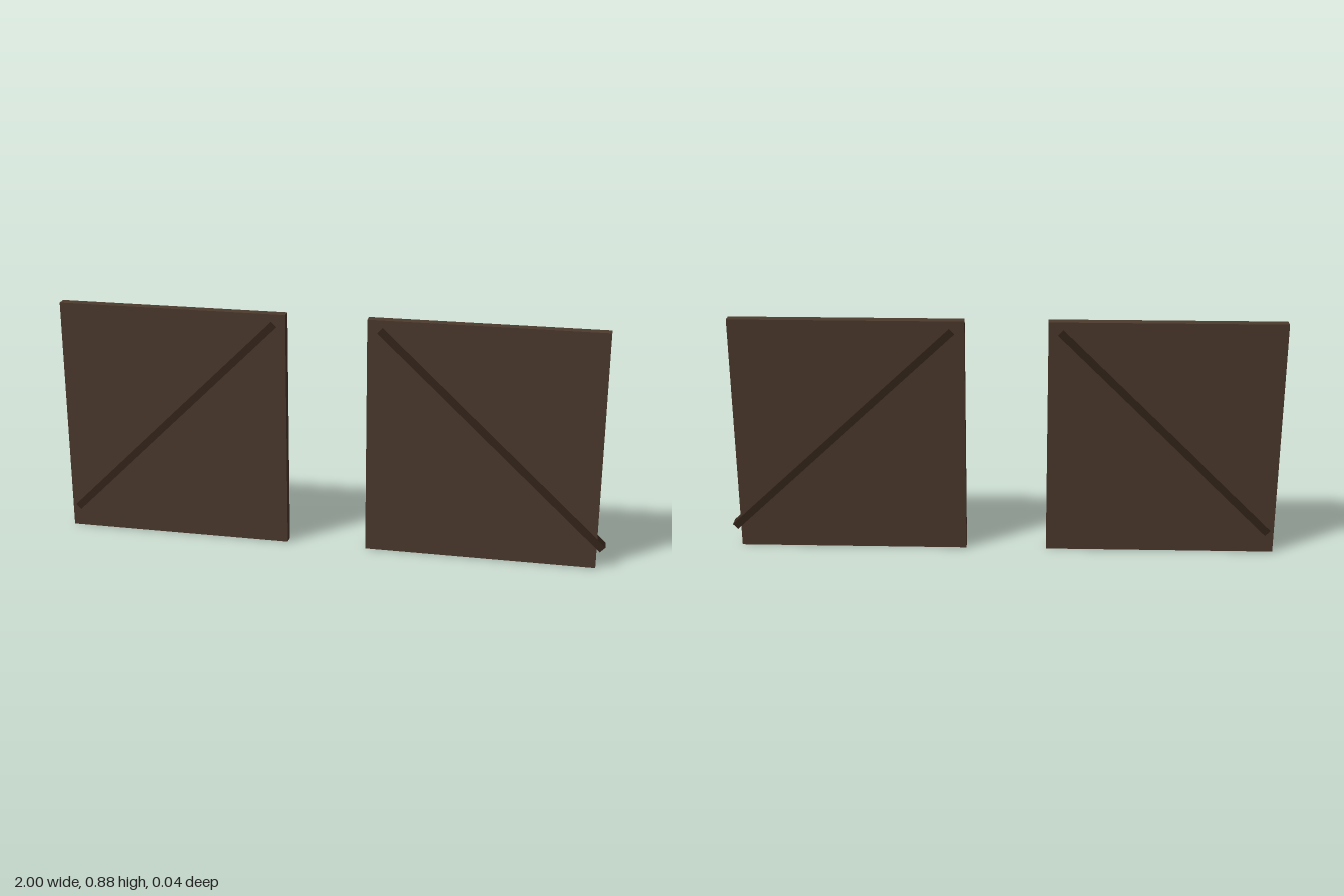
import * as THREE from 'three';

const panelMaterial = new THREE.MeshStandardMaterial({ color: 0x4d3a2d });
const braceMaterial = new THREE.MeshStandardMaterial({ color: 0x35261b });

const HEIGHT = 0.877;

// One shutter: a flat board with a diagonal brace running right through it
function createShutter(name, xMin, xMax, low, high) {
  const shutter = new THREE.Group();
  shutter.name = name;

  const panel = new THREE.Mesh(new THREE.BoxGeometry(xMax - xMin, HEIGHT, 0.036), panelMaterial);
  panel.name = 'panel';
  panel.position.set((xMin + xMax) / 2, HEIGHT / 2, 0);
  shutter.add(panel);

  // Brace between two end points, slightly proud of both faces
  const dx = high[0] - low[0];
  const dy = high[1] - low[1];
  const brace = new THREE.Mesh(new THREE.BoxGeometry(Math.hypot(dx, dy), 0.027, 0.044), braceMaterial);
  brace.name = 'diagonalBrace';
  brace.position.set((low[0] + high[0]) / 2, (low[1] + high[1]) / 2, 0);
  brace.rotation.z = Math.atan2(dy, dx);
  shutter.add(brace);

  return shutter;
}

export function createModel() {
  const model = new THREE.Group();
  model.name = 'pairOfShutters';
  model.add(
    createShutter('rightShutter', -1, -0.163, [-0.978, 0.075], [-0.205, 0.84]),
    // This brace overshoots the outer edge of its board
    createShutter('leftShutter', 0.132, 0.969, [0.99, 0.075], [0.177, 0.84])
  );
  return model;
}
